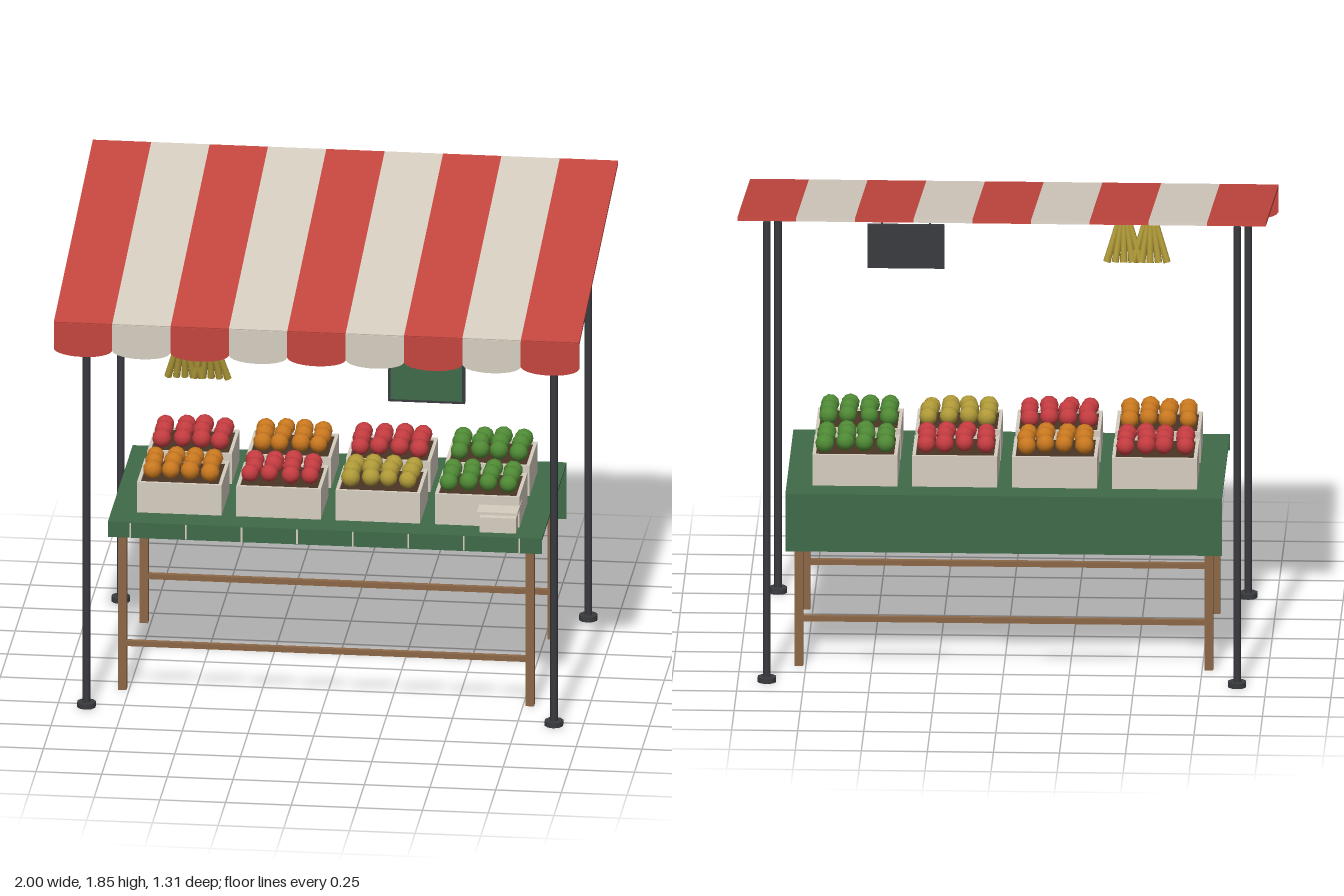
import * as THREE from 'three';
import { mergeGeometries } from 'three/addons/utils/BufferGeometryUtils.js';

const mat = (name, color) => Object.assign(new THREE.MeshStandardMaterial({ color }), { name });
const M = {
  red: mat('red', 0xc4463f),
  cream: mat('cream', 0xd6cdc0),
  green: mat('cloth green', 0x406a48),
  wood: mat('wood', 0x8c6747),
  metal: mat('dark metal', 0x3a3b40),
  soil: mat('crate filling', 0x4a3524),
  orange: mat('orange', 0xc9781f),
  yellow: mat('yellow', 0xb09a38),
  leaf: mat('fruit green', 0x4f8a35),
  berry: mat('fruit red', 0xc43c40),
};

let seed = 7;
const rand = () => (seed = (seed * 16807) % 2147483647) / 2147483647;

export function createModel() {
  const root = new THREE.Group();
  root.name = 'marketStall';

  const add = (name, geo, material, x = 0, y = 0, z = 0, parent = root) => {
    const mesh = new THREE.Mesh(geo, material);
    mesh.name = name;
    mesh.position.set(x, y, z);
    parent.add(mesh);
    return mesh;
  };
  // Box given by its bounds on each axis
  const box = (name, material, [x0, x1], [y0, y1], [z0, z1], parent = root) =>
    add(name, new THREE.BoxGeometry(x1 - x0, y1 - y0, z1 - z0), material,
      (x0 + x1) / 2, (y0 + y1) / 2, (z0 + z1) / 2, parent);
  // Round rod between two points
  const rod = (name, material, a, b, rTop, rBottom = rTop, parent = root) => {
    const A = new THREE.Vector3(...a), B = new THREE.Vector3(...b);
    const dir = A.clone().sub(B);
    const mesh = add(name, new THREE.CylinderGeometry(rTop, rBottom, dir.length(), 8), material, 0, 0, 0, parent);
    mesh.position.copy(A).add(B).multiplyScalar(0.5);
    mesh.quaternion.setFromUnitVectors(new THREE.Vector3(0, 1, 0), dir.normalize());
    return mesh;
  };

  // Posts with round feet
  for (const x of [-0.89, 0.89]) {
    for (const [z, top] of [[0.529, 1.595], [-0.62, 1.82]]) {
      rod('post', M.metal, [x, top, z], [x, 0, z], 0.0145);
      add('postFoot', new THREE.CylinderGeometry(0.036, 0.036, 0.02, 10), M.metal, x, 0.01, z);
    }
  }
  rod('frontBar', M.metal, [-0.89, 1.555, 0.529], [0.89, 1.555, 0.529], 0.011);

  // Striped sloping canopy with a scalloped valance
  const stripes = 9, w = 2 / stripes;
  const slope = Math.atan2(0.25, 1.305), length = Math.hypot(0.25, 1.305);
  const flap = new THREE.Shape();
  flap.moveTo(-w / 2, 0);
  flap.lineTo(-w / 2, -0.105);
  flap.bezierCurveTo(-w * 0.42, -0.143, w * 0.42, -0.143, w / 2, -0.105);
  flap.lineTo(w / 2, 0);
  flap.closePath();
  const flapGeo = new THREE.ExtrudeGeometry(flap, { depth: 0.008, bevelEnabled: false, curveSegments: 12 });
  for (let i = 0; i < stripes; i++) {
    const x = -1 + w * (i + 0.5), m = i % 2 ? M.cream : M.red;
    add('canopyStripe', new THREE.BoxGeometry(w, 0.014, length), m, x, 1.714, 0).rotation.x = slope;
    add('valanceFlap', flapGeo, m, x, 1.592, 0.648);
  }

  // Table frame
  const frontZ = 0.322, backZ = -0.405, legX = 0.776;
  for (const z of [frontZ, backZ]) {
    for (const x of [-legX, legX])
      box('tableLeg', M.wood, [x - 0.016, x + 0.016], [0, 0.64], [z - 0.016, z + 0.016]);
    box('longRail', M.wood, [-legX, legX], [0.636, 0.664], [z - 0.012, z + 0.012]);
    box('stretcher', M.wood, [-legX, legX], [0.176, 0.197], [z - 0.01, z + 0.01]);
  }
  for (const x of [-legX, legX])
    box('sideRail', M.wood, [x - 0.016, x + 0.016], [0.635, 0.664], [-0.422, 0.342]);
  box('tableBoard', M.cream, [-0.8, 0.8], [0.664, 0.682], [-0.422, 0.342]);

  // Tablecloth: top, short front drop with seams, long back drop
  box('clothTop', M.green, [-0.826, 0.826], [0.682, 0.692], [-0.456, 0.374]);
  box('clothFront', M.green, [-0.826, 0.826], [0.63, 0.692], [0.367, 0.374]);
  box('clothBack', M.green, [-0.826, 0.826], [0.465, 0.692], [-0.456, -0.449]);
  for (let i = 0; i < 8; i++) {
    const x = (i - 3.5) * 0.2115;
    box('clothSeam', M.cream, [x - 0.003, x + 0.003], [0.632, 0.69], [0.373, 0.376]);
  }

  // Crates heaped with fruit
  const fruitCrate = (cx, cz, fruitMat) => {
    const g = new THREE.Group();
    g.name = 'fruitCrate';
    g.position.set(cx, 0.692, cz);
    root.add(g);
    const hx = 0.161, hz = 0.132, t = 0.013, h = 0.122;
    for (const s of [-1, 1]) {
      const x = s * (hx - t / 2), z = s * (hz - t / 2);
      box('crateLongWall', M.cream, [-hx, hx], [0, h], [z - t / 2, z + t / 2], g);
      box('crateEndWall', M.cream, [x - t / 2, x + t / 2], [0, h], [-hz + t, hz - t], g);
    }
    box('crateFilling', M.soil, [-hx + t, hx - t], [0, h - 0.008], [-hz + t, hz - t], g);
    const parts = [];
    for (let i = 0; i < 4; i++) {
      for (let j = 0; j < 3; j++) {
        const dome = (i % 3 ? 0.005 : 0) + (j === 1 ? 0.006 : 0);
        const geo = new THREE.IcosahedronGeometry(0.034 + rand() * 0.003, 1);
        geo.rotateX(rand() * 3).rotateY(rand() * 3);
        geo.translate((i - 1.5) * 0.074 + (rand() - 0.5) * 0.01, 0.152 + dome + rand() * 0.004,
          (j - 1) * 0.077 + (rand() - 0.5) * 0.01);
        parts.push(geo);
      }
    }
    add('fruit', mergeGeometries(parts), fruitMat, 0, 0, 0, g);
  };
  const rows = [
    [0.131, [M.orange, M.berry, M.yellow, M.leaf]],
    [-0.212, [M.berry, M.orange, M.berry, M.leaf]],
  ];
  for (const [z, fruits] of rows) fruits.forEach((m, i) => fruitCrate((i - 1.5) * 0.378, z, m));

  // Weighing scale
  box('scaleBody', M.cream, [0.583, 0.722], [0.692, 0.752], [0.21, 0.33]);
  box('scaleNeck', M.cream, [0.63, 0.675], [0.752, 0.77], [0.25, 0.29]);
  box('scalePan', M.cream, [0.575, 0.73], [0.768, 0.779], [0.195, 0.344]);

  // Hanging sign
  box('signFrame', M.metal, [0.26, 0.552], [1.287, 1.458], [0.526, 0.544]);
  box('signFace', M.green, [0.27, 0.542], [1.297, 1.448], [0.543, 0.547]);
  for (const x of [0.315, 0.497])
    rod('signHanger', M.metal, [x, 1.555, 0.532], [x, 1.455, 0.532], 0.004);

  // Two hanging bunches of long fruit
  for (const x of [-0.52, -0.42]) {
    rod('bunchString', M.metal, [x, 1.555, 0.525], [x, 1.49, 0.522], 0.004);
    for (let i = -2; i <= 2; i++)
      rod('bunchFruit', M.yellow, [x + i * 0.008, 1.5, 0.522], [x + i * 0.032, 1.333, 0.484 + Math.abs(i) * 0.003], 0.01, 0.014);
  }

  return root;
}
